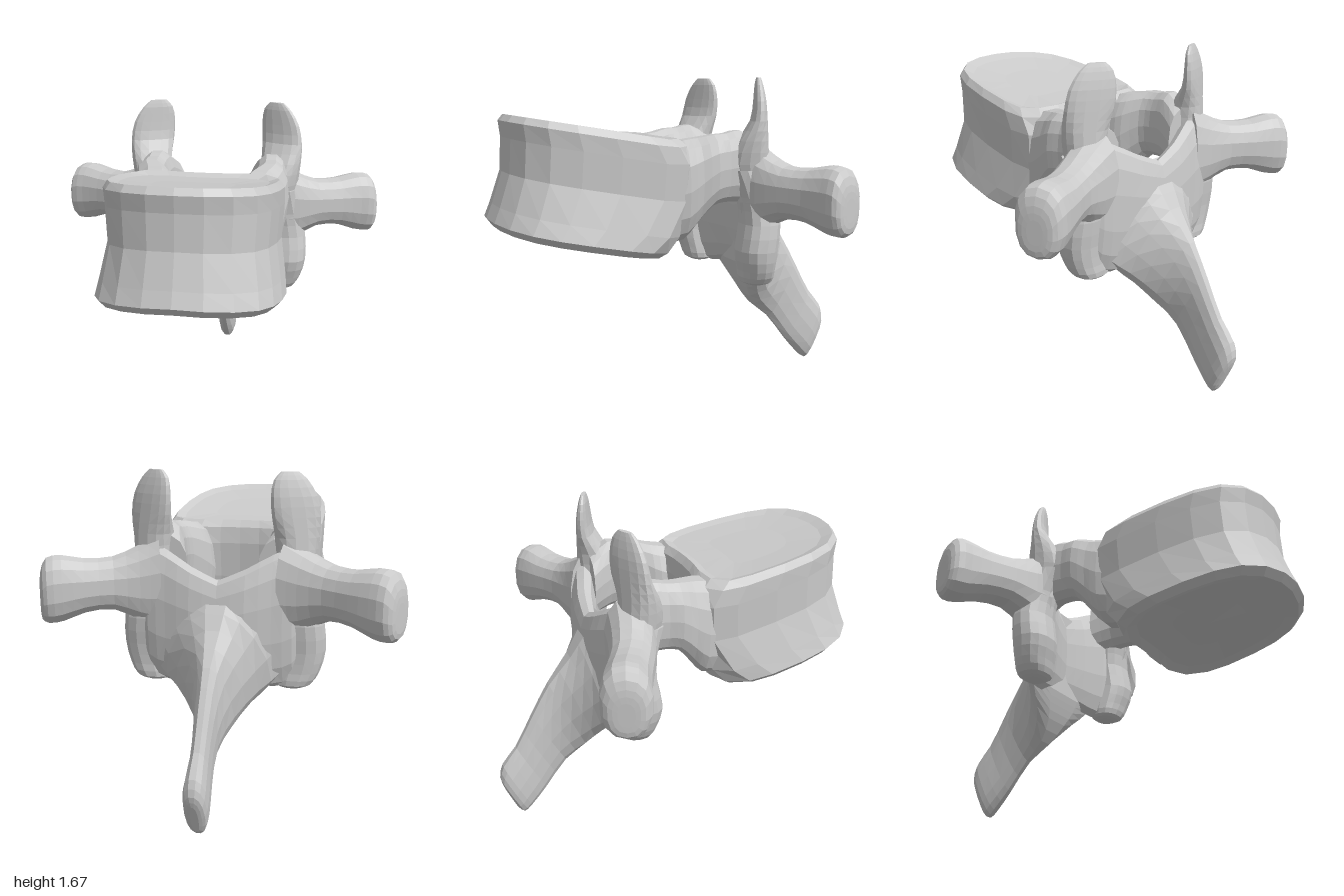
import * as THREE from 'three';

const bone = new THREE.MeshStandardMaterial({ color: 0xcccccc, flatShading: true });
const X = new THREE.Vector3(1, 0, 0), Y = new THREE.Vector3(0, 1, 0), Z = new THREE.Vector3(0, 0, 1);

// Closed skin over a list of equal rings, with `sub` smooth steps between rings
function skin(name, rings, sub = 2, mirror = false) {
  const n = rings[0].length, steps = (rings.length - 1) * sub;
  const columns = rings[0].map((_, j) => new THREE.CatmullRomCurve3(rings.map(r => r[j])));
  const pts = [], index = [];
  for (let i = 0; i <= steps; i++) for (const c of columns) pts.push(c.getPoint(i / steps));
  const middle = r => r.reduce((s, p) => s.add(p), new THREE.Vector3()).divideScalar(n);
  const a = pts.length, b = a + 1;
  pts.push(middle(rings[0]), middle(rings[rings.length - 1]));
  for (let j = 0; j < n; j++) {
    const k = (j + 1) % n, top = steps * n;
    for (let i = 0; i < steps; i++) {
      const p = i * n + j, q = i * n + k;
      index.push(p, q, q + n, p, q + n, p + n);
    }
    index.push(a, k, j, b, top + j, top + k);
  }
  if (mirror) pts.forEach(p => { p.x *= -1; });
  // Turn the faces outward, whichever way the rings run
  let volume = 0;
  for (let i = 0; i < index.length; i += 3) {
    volume += pts[index[i]].dot(new THREE.Vector3().crossVectors(pts[index[i + 1]], pts[index[i + 2]]));
  }
  if (volume < 0) index.reverse();
  const g = new THREE.BufferGeometry().setFromPoints(pts);
  g.setIndex(index);
  g.computeVertexNormals();
  const mesh = new THREE.Mesh(g, bone);
  mesh.name = name;
  return mesh;
}

// Rounded cross-section; taper narrows the +v side
function ring(center, u, v, a, b, taper = 0, sides = 14) {
  return Array.from({ length: sides }, (_, i) => {
    const t = (i / sides) * Math.PI * 2;
    const round = s => Math.sign(s) * Math.abs(s) ** 0.85;
    const c = round(Math.cos(t)), s = round(Math.sin(t));
    return center.clone().addScaledVector(u, a * c * (1 - taper * s)).addScaledVector(v, b * s);
  });
}

// Rows of [x, y, z, half size along u, half size along v]
const limb = (rows, u, v) => rows.map(([x, y, z, a, b]) => ring(new THREE.Vector3(x, y, z), u, v, a, b));

// Vertebral body: D-shaped outline stacked between two sloping end plates
function bodyRings() {
  const half = [[0, 0.05], [0.25, 0.045], [0.5, 0.02], [0.8, 0], [0.96, 0.06], [1, 0.2], [0.98, 0.45],
    [0.92, 0.66], [0.8, 0.82], [0.58, 0.93], [0.3, 0.985], [0, 1]];
  const outline = [...half, ...half.slice(1, -1).reverse().map(([x, z]) => [-x, z])];
  // height fraction, half width, back z, front z, dish depth, rounding of the back corners
  const levels = [
    [0, 0.20, 0.33, 0.70, 0.035, 0.2], [0, 0.38, 0.16, 0.90, 0.02, 0.2], [0, 0.43, 0.11, 0.97, 0, 0.2],
    [0.06, 0.465, 0.08, 1.0, 0, 0.17], [0.2, 0.452, 0.045, 0.97, 0, 0.1], [0.5, 0.42, 0.02, 0.915, 0, 0],
    [0.8, 0.43, 0.01, 0.905, 0, 0], [0.94, 0.43, 0.02, 0.915, 0, 0.05], [1, 0.405, 0.05, 0.89, 0, 0.08],
    [1, 0.36, 0.10, 0.83, -0.015, 0.08], [1, 0.20, 0.28, 0.65, -0.025, 0.08]];
  return levels.map(([t, w, back, front, dish, round]) => outline.map(([x, f]) => {
    const z = back + (front - back) * (f + round * Math.abs(x) ** 3 * (1 - f));
    const low = 0.745 + 0.21 * Math.max(0, z - 0.1) - 0.04 * Math.abs(x * w) * z;
    const high = 1.365 + 0.165 * Math.max(0, z - 0.15);
    return new THREE.Vector3(x * w, low + (high - low) * t + dish, z);
  }));
}

// Spinous process: [top y, top z, bottom y, bottom z, half width]
function spineRings() {
  return [
    [1.14, -0.41, 0.63, -0.40, 0.33], [1.06, -0.49, 0.56, -0.42, 0.30], [0.92, -0.58, 0.48, -0.45, 0.20],
    [0.77, -0.70, 0.37, -0.52, 0.10], [0.60, -0.80, 0.28, -0.63, 0.055], [0.42, -0.90, 0.13, -0.75, 0.05],
    [0.32, -0.98, 0.03, -0.84, 0.06], [0.24, -1.0, -0.005, -0.885, 0.05], [0.18, -0.985, 0.02, -0.915, 0.02],
  ].map(([ty, tz, by, bz, w]) => {
    const top = new THREE.Vector3(0, ty, tz), low = new THREE.Vector3(0, by, bz);
    const v = top.clone().sub(low).multiplyScalar(0.5);
    return ring(top.add(low).multiplyScalar(0.5), X, v, w, 1, w > 0.08 ? 0.35 : 0);
  });
}

export function createModel() {
  const model = new THREE.Group();
  model.name = 'vertebra';
  model.add(skin('vertebralBody', bodyRings(), 1), skin('spinousProcess', spineRings()));

  // Paired parts of the arch
  const across = new THREE.Vector3(0.4, 0, 0.92);
  const bladeSide = new THREE.Vector3(0.9, 0, 0.43), bladeFront = new THREE.Vector3(-0.43, 0, 0.9);
  const parts = {
    Pedicle: limb([
      [0.27, 1.08, 0.14, 0.12, 0.25], [0.275, 1.10, 0.05, 0.14, 0.26], [0.29, 1.145, -0.02, 0.13, 0.225],
      [0.325, 1.20, -0.10, 0.108, 0.185], [0.325, 1.21, -0.17, 0.095, 0.18],
      [0.32, 1.215, -0.25, 0.10, 0.19], [0.29, 1.17, -0.36, 0.11, 0.17],
    ], X, Y),
    Lamina: limb([
      [0.44, 1.0, -0.34, 0.26, 0.06], [0.37, 0.96, -0.36, 0.34, 0.095], [0.27, 0.93, -0.395, 0.34, 0.085],
      [0.14, 0.91, -0.435, 0.29, 0.075], [0, 0.89, -0.455, 0.25, 0.06],
    ], Y, Z),
    SuperiorArticularProcess: limb([
      [0.335, 1.668, -0.36, 0.045, 0.012], [0.34, 1.63, -0.36, 0.085, 0.022], [0.358, 1.55, -0.357, 0.118, 0.033],
      [0.37, 1.45, -0.347, 0.125, 0.045], [0.37, 1.35, -0.315, 0.115, 0.08], [0.36, 1.23, -0.30, 0.105, 0.105],
      [0.36, 1.08, -0.33, 0.09, 0.09],
    ], bladeSide, bladeFront),
    InferiorArticularProcess: limb([
      [0.37, 1.2, -0.30, 0.09, 0.11], [0.38, 1.06, -0.335, 0.11, 0.10], [0.40, 0.92, -0.345, 0.12, 0.10],
      [0.405, 0.78, -0.325, 0.122, 0.105], [0.385, 0.67, -0.335, 0.115, 0.09],
      [0.365, 0.605, -0.345, 0.095, 0.08], [0.36, 0.585, -0.35, 0.05, 0.045],
    ], X, Z),
    TransverseProcess: limb([
      [0.34, 1.10, -0.35, 0.24, 0.13], [0.44, 1.09, -0.375, 0.195, 0.12], [0.56, 1.095, -0.42, 0.138, 0.11],
      [0.69, 1.09, -0.485, 0.14, 0.112], [0.79, 1.08, -0.53, 0.17, 0.117], [0.86, 1.07, -0.555, 0.168, 0.117],
      [0.89, 1.045, -0.565, 0.12, 0.085], [0.895, 1.04, -0.567, 0.06, 0.04],
    ], Y, across),
  };
  for (const [name, rings] of Object.entries(parts)) {
    model.add(skin('left' + name, rings), skin('right' + name, rings, 2, true));
  }
  return model;
}
